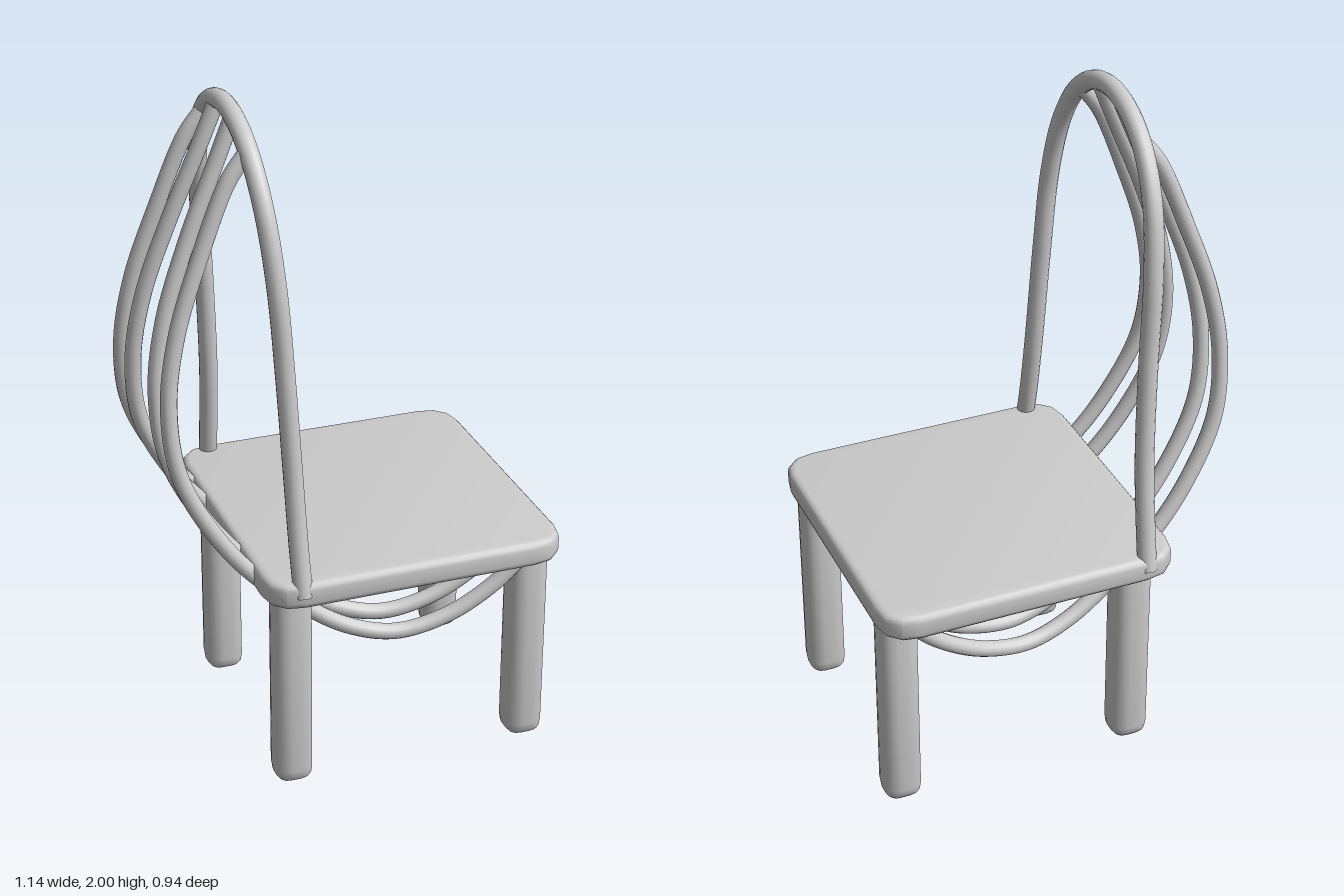
import * as THREE from 'three';
import { toCreasedNormals } from 'three/addons/utils/BufferGeometryUtils.js';

const material = new THREE.MeshStandardMaterial({ color: 0xcccccc });

function addMesh(parent, name, geometry) {
  const mesh = new THREE.Mesh(geometry, material);
  mesh.name = name;
  parent.add(mesh);
  return mesh;
}

// Upright slab with rounded corners and beveled top and bottom, base at y = 0
function softBlock(w, h, d, corner, bevelSize, bevelHeight, bevelSegments, crease) {
  const x = w / 2 - bevelSize, y = d / 2 - bevelSize, r = corner;
  const shape = new THREE.Shape();
  shape.moveTo(-x + r, -y);
  shape.lineTo(x - r, -y);
  shape.quadraticCurveTo(x, -y, x, -y + r);
  shape.lineTo(x, y - r);
  shape.quadraticCurveTo(x, y, x - r, y);
  shape.lineTo(-x + r, y);
  shape.quadraticCurveTo(-x, y, -x, y - r);
  shape.lineTo(-x, -y + r);
  shape.quadraticCurveTo(-x, -y, -x + r, -y);
  const geometry = new THREE.ExtrudeGeometry(shape, {
    depth: h - 2 * bevelHeight, curveSegments: 3,
    bevelEnabled: true, bevelSize, bevelThickness: bevelHeight, bevelSegments,
  });
  geometry.translate(0, 0, bevelHeight).rotateX(-Math.PI / 2);
  return toCreasedNormals(geometry, crease);
}

function rod(points, radius, segments) {
  const curve = new THREE.CatmullRomCurve3(points.map((p) => new THREE.Vector3(...p)));
  return new THREE.TubeGeometry(curve, segments, radius, 14);
}

export function createModel() {
  const chair = new THREE.Group();
  chair.name = 'chair';

  // Seat
  const seat = addMesh(chair, 'seat', softBlock(0.905, 0.078, 0.93, 0.085, 0.02, 0.02, 3, 0.6));
  seat.position.set(0.118, 0.627, 0);

  // Legs
  for (const [x, name] of [[-0.235, 'backLeg'], [0.498, 'frontLeg']]) {
    for (const z of [-0.33, 0.33]) {
      const leg = addMesh(chair, name, softBlock(0.112, 0.67, 0.112, 0.03, 0.012, 0.035, 2, 0.7));
      leg.position.set(x, 0, z);
    }
  }

  // Back hoop: half profile mirrored over the top
  const half = [
    [-0.235, 0.66, 0.445], [-0.238, 0.78, 0.42], [-0.243, 1.0, 0.388], [-0.256, 1.3, 0.366],
    [-0.272, 1.56, 0.348], [-0.286, 1.75, 0.3], [-0.295, 1.88, 0.215], [-0.299, 1.95, 0.11],
  ];
  const mirrored = half.map(([x, y, z]) => [x, y, -z]).reverse();
  addMesh(chair, 'backHoop', rod([...half, [-0.3, 1.972, 0], ...mirrored], 0.028, 120));

  // Spindles: bow out behind the back, then sweep under the seat to its front
  const spindle = [
    [-0.355, 1.82, 0.074], [-0.44, 1.62, 0.084], [-0.517, 1.4, 0.1], [-0.549, 1.2, 0.117],
    [-0.53, 1.0, 0.137], [-0.44, 0.81, 0.154], [-0.33, 0.665, 0.166], [-0.19, 0.545, 0.18],
    [-0.05, 0.455, 0.197], [0.09, 0.418, 0.213], [0.24, 0.45, 0.229], [0.37, 0.525, 0.241],
    [0.45, 0.6, 0.248], [0.48, 0.65, 0.25],
  ];
  for (const [offset, topY] of [[0, 1.955], [0.12, 1.895]]) {
    for (const side of [-1, 1]) {
      const path = [[-0.299, topY, 0.07], ...spindle].map(([x, y, z]) => [x, y, side * (z + offset)]);
      addMesh(chair, 'spindle', rod(path, 0.024, 110));
    }
  }

  return chair;
}
